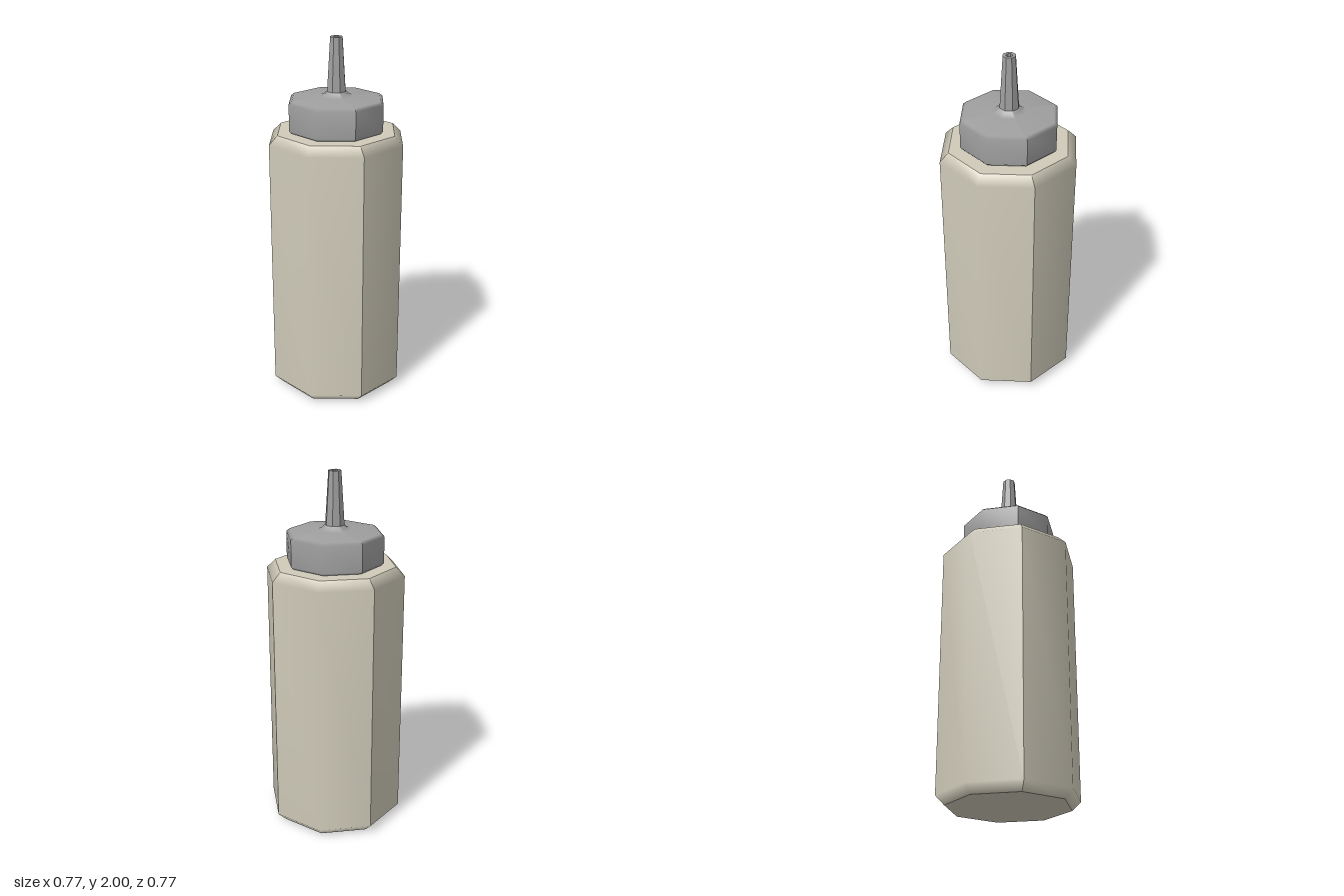
import * as THREE from 'three';
import { mergeGeometries } from 'three/addons/utils/BufferGeometryUtils.js';

const SIDES = 8;

// Eight-sided turned shell: soft on the four axis corners, sharp on the four diagonal ones
function octagonShell(profile) {
  const points = profile.map(([r, y]) => new THREE.Vector2(r, y));
  const quarters = [];
  for (let k = 0; k < 4; k++) {
    const quarter = new THREE.LatheGeometry(points, 2, (k - 0.5) * Math.PI / 2, Math.PI / 2);
    quarter.computeVertexNormals();
    quarters.push(quarter);
  }
  return mergeGeometries(quarters);
}

// Eight-sided turned shell with every face flat
function facetedShell(profile) {
  const points = profile.map(([r, y]) => new THREE.Vector2(r, y));
  const shell = new THREE.LatheGeometry(points, SIDES).toNonIndexed();
  shell.computeVertexNormals();
  return shell;
}

function octagonDisc(radius, y, facesUp) {
  const disc = new THREE.CircleGeometry(radius, SIDES);
  disc.rotateX(facesUp ? -Math.PI / 2 : Math.PI / 2);
  disc.translate(0, y, 0);
  return disc;
}

export function createModel() {
  const bottlePlastic = new THREE.MeshStandardMaterial({ color: 0xcfcab9 });
  bottlePlastic.name = 'creamPlastic';
  const capPlastic = new THREE.MeshStandardMaterial({ color: 0x9f9f9f });
  capPlastic.name = 'greyPlastic';

  const model = new THREE.Group();
  model.name = 'squeezeBottle';
  const add = (name, geometry, material) => {
    const mesh = new THREE.Mesh(geometry, material);
    mesh.name = name;
    model.add(mesh);
  };

  // Bottle: bevelled wall closed by flat ends
  add('bottleWall', octagonShell([
    [0.335, 0], [0.383, 0.048], [0.383, 1.452], [0.335, 1.5],
  ]), bottlePlastic);
  add('bottleShoulder', octagonDisc(0.335, 1.5, true), bottlePlastic);
  add('bottleBase', octagonDisc(0.335, 0, false), bottlePlastic);

  // Cap: bevelled collar whose sloping top flares up into the nozzle
  add('cap', octagonShell([
    [0.255, 1.503], [0.269, 1.517], [0.269, 1.661], [0.252, 1.676],
    [0.09, 1.686], [0.07, 1.695], [0.053, 1.712],
  ]), capPlastic);
  add('capUnderside', facetedShell([[0.017, 1.503], [0.255, 1.503]]), capPlastic);

  // Nozzle: tapered spout, flat rim and a bore running down to the bottle
  add('nozzle', facetedShell([
    [0.053, 1.712], [0.035, 2], [0.017, 2], [0.017, 1.503],
  ]), capPlastic);

  return model;
}
